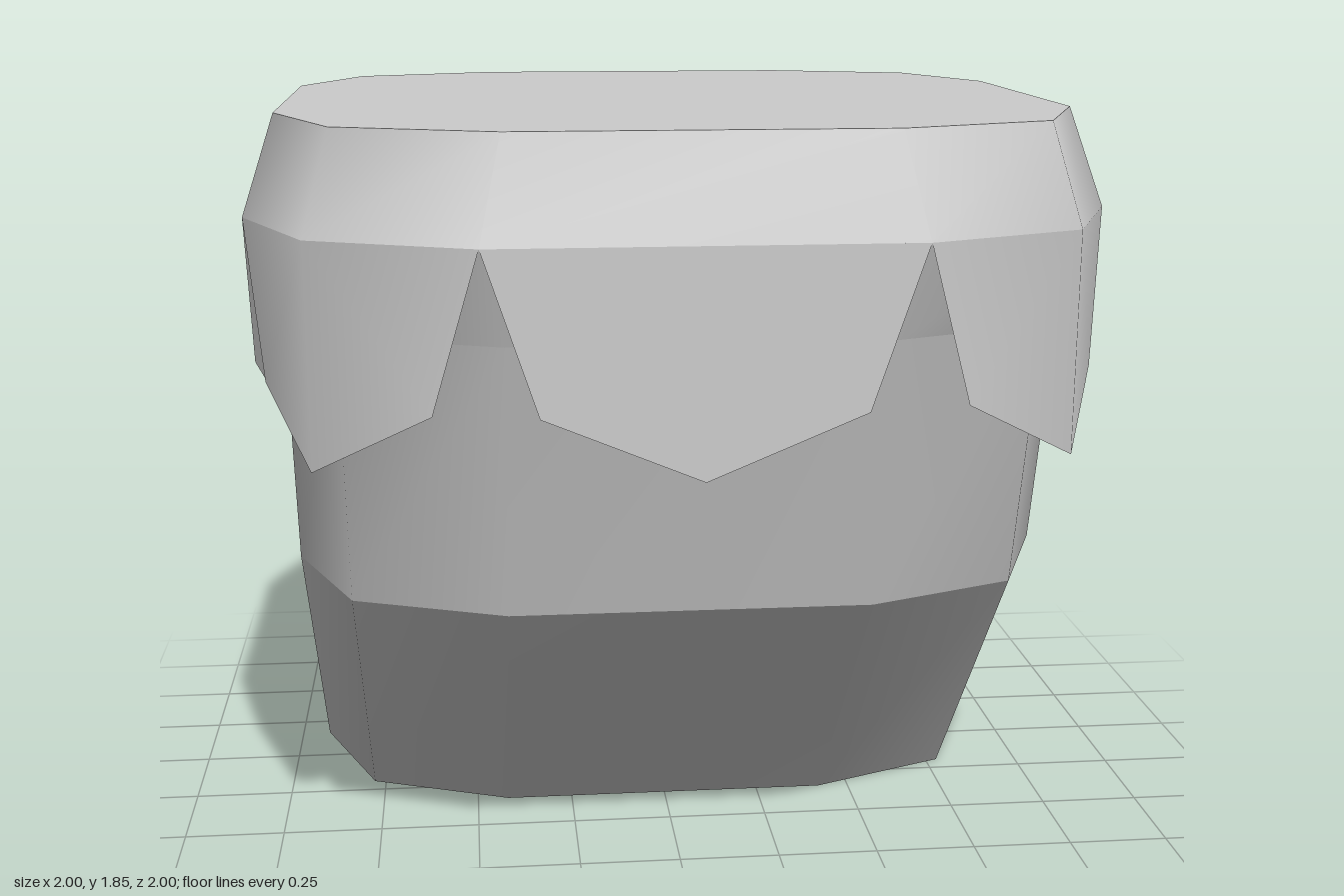
import * as THREE from 'three';

const material = new THREE.MeshStandardMaterial({ color: 0xcccccc });
const thinMaterial = new THREE.MeshStandardMaterial({ color: 0xcccccc, side: THREE.DoubleSide });

// Twelve-sided rounded-square ring; its front half can be pushed back in z.
function ring(edge, corner, flat, y, pushBack = 0) {
  const points = [];
  for (let q = 0; q < 4; q++) {
    const c = Math.round(Math.cos(q * Math.PI / 2)), s = Math.round(Math.sin(q * Math.PI / 2));
    for (const [x, z] of [[flat, edge], [corner, corner], [edge, flat]]) {
      const px = x * c + z * s, pz = z * c - x * s;
      points.push([px, y, pz > 0 ? pz - pushBack : pz]);
    }
  }
  return points;
}

function meshFrom(name, points, index, mat = material) {
  const geometry = new THREE.BufferGeometry();
  geometry.setAttribute('position', new THREE.Float32BufferAttribute(points.flat(), 3));
  geometry.setIndex(index);
  geometry.computeVertexNormals();
  const mesh = new THREE.Mesh(geometry, mat);
  mesh.name = name;
  return mesh;
}

// Wall between two rings, smooth around and sharp at its rims.
function band(name, lower, upper) {
  const n = lower.length, index = [];
  for (let i = 0; i < n; i++) {
    const j = (i + 1) % n;
    index.push(i, j, n + j, i, n + j, n + i);
  }
  return meshFrom(name, [...lower, ...upper], index);
}

// Flat polygon closing a ring.
function disc(name, points, up) {
  const index = [];
  for (let i = 1; i < points.length - 1; i++) {
    index.push(0, ...(up ? [i, i + 1] : [i + 1, i]));
  }
  return meshFrom(name, points, index);
}

// Hanging flap: a fan from the middle of its top edge.
function flap(name, points) {
  const index = [];
  for (let i = 1; i < points.length - 1; i++) index.push(0, i, i + 1);
  return meshFrom(name, points, index, thinMaterial);
}

export function createModel() {
  const model = new THREE.Group();

  // Body: the front slopes back toward the base
  const base = ring(0.925, 0.78, 0.42, 0, 0.835);
  const fold = ring(0.925, 0.78, 0.42, 0.74, 0.185);
  const shoulder = ring(0.925, 0.78, 0.42, 1.4);
  const rim = ring(1, 0.84, 0.47, 1.62);
  const crown = ring(0.925, 0.78, 0.42, 1.85);
  const body = new THREE.Group();
  body.name = 'body';
  body.add(
    disc('bodyBase', base, false),
    band('lowerBody', base, fold),
    band('upperBody', fold, shoulder),
    band('coverUnderside', shoulder, rim)
  );

  // Cover: bevelled lid with a flat top
  const cover = new THREE.Group();
  cover.name = 'cover';
  cover.add(band('coverBevel', rim, crown), disc('coverTop', crown, true));

  // Pointed flaps around the rim: one per side and one per corner
  for (let q = 0; q < 4; q++) {
    const side = flap('sideFlap', [
      [0, 1.62, 1], [-0.47, 1.62, 1], [-0.35, 1.26, 1],
      [0, 1.115, 1], [0.35, 1.26, 1], [0.47, 1.62, 1]
    ]);
    const corner = flap('cornerFlap', [
      [0.84, 1.62, 0.84], [0.47, 1.62, 1], [0.575, 1.26, 0.955],
      [0.84, 1.115, 0.84], [0.955, 1.26, 0.575], [1, 1.62, 0.47]
    ]);
    for (const f of [side, corner]) {
      f.rotation.y = q * Math.PI / 2;
      cover.add(f);
    }
  }

  model.add(body, cover);
  return model;
}
